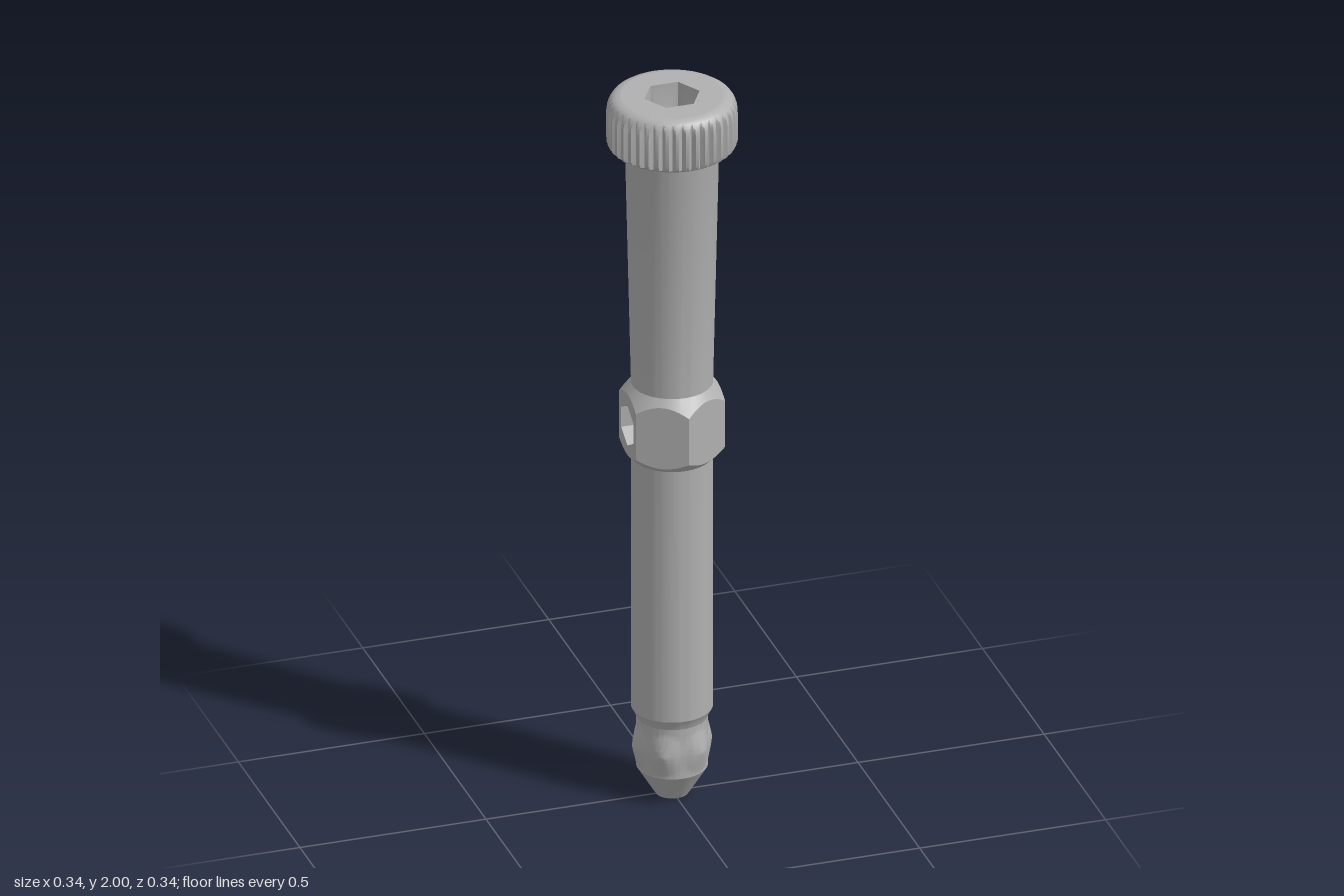
import * as THREE from 'three';
import { toCreasedNormals } from 'three/addons/utils/BufferGeometryUtils.js';

const TAU = Math.PI * 2;
const BORE = 0.04, CROSS = 0.037, CROSS_Y = 1.07, FLAT = 0.12;

// Skin over rings; at(a, i) gives [radius, height] for angle a on ring i.
function loft(rings, n, at, crease = 0.5, skip = () => false) {
  const pos = [], idx = [];
  for (let i = 0; i < rings; i++) {
    for (let j = 0; j < n; j++) {
      const a = (j / n) * TAU, [r, h] = at(a, i, j);
      pos.push(r * Math.cos(a), h, r * Math.sin(a));
    }
  }
  for (let i = 0; i < rings - 1; i++) {
    for (let j = 0; j < n; j++) {
      if (skip(((j + 0.5) / n) * TAU, i)) continue;
      const k = (j + 1) % n, p = i * n + j, q = i * n + k;
      idx.push(p, p + n, q, q, p + n, q + n);
    }
  }
  const g = new THREE.BufferGeometry();
  g.setAttribute('position', new THREE.Float32BufferAttribute(pos, 3));
  g.setIndex(idx);
  return toCreasedNormals(g, crease);
}

const turned = (profile) => loft(profile.length, 72, (a, i) => profile[i]);

// Radius of a hexagon with the given apothem; flats face multiples of 60 degrees.
function hexRadius(a, apothem) {
  const s = TAU / 6;
  return apothem / Math.cos(a - Math.round(a / s) * s);
}

export function createModel() {
  const model = new THREE.Group();
  model.name = 'knurledBolt';
  const steel = new THREE.MeshStandardMaterial({ color: 0xb0b0b0 });
  steel.name = 'greySteel';
  const add = (name, geometry) => {
    const mesh = new THREE.Mesh(geometry, steel);
    mesh.name = name;
    model.add(mesh);
    return mesh;
  };

  // Plain turned parts
  add('tipCone', turned([[BORE, 0], [0.043, 0], [0.092, 0.08]]));
  add('lowerShaft', turned([[0.092, 0.222], [0.097, 0.236], [0.105, 0.25], [0.105, 0.97]]));
  add('upperShaft', turned([[0.105, 1.18], [0.12, 1.835], [0.123, 1.847], [0.132, 1.856]]));

  // Six shallow pointed bumps around the nose
  const bumpRows = 25;
  add('bumpedNose', loft(bumpRows, 96, (a, i) => {
    const y = 0.08 + (0.142 * i) / (bumpRows - 1);
    const s = TAU / 6;
    const arc = (a - Math.round(a / s) * s) * 0.105;
    return [Math.max(0.092, 0.107 - 0.25 * Math.hypot(arc, y - 0.145)), y];
  }));

  // Hexagonal collar with cone-cut ends; the two side flats are left open
  const low = (r) => 0.97 + (r - 0.105);
  const high = (r) => 1.18 - (r - 0.105) * 1.32;
  add('hexCollar', loft(4, 72, (a, i) => {
    const r = hexRadius(a, FLAT);
    return [[0.105, 0.97], [r, low(r)], [r, high(r)], [0.105, 1.18]][i];
  }, 0.5, (a, i) => i === 1 && Math.abs(Math.cos(a)) > Math.cos(Math.PI / 6)));

  // Side flats with a round opening on one side and a hexagonal one on the other
  const roundOpening = () => 0.056;
  const hexOpening = (a) => hexRadius(a + Math.PI / 6, 0.05);
  for (const [side, label, opening] of [[1, 'round', roundOpening], [-1, 'hex', hexOpening]]) {
    const bottom = [], top = [], rim = [];
    for (let d = -30; d <= 30; d += 5) {
      const a = THREE.MathUtils.degToRad(d), r = FLAT / Math.cos(a), x = FLAT * Math.tan(a);
      bottom.push(new THREE.Vector2(x, low(r)));
      top.unshift(new THREE.Vector2(x, high(r)));
    }
    for (let j = 0; j < 48; j++) {
      const a = (j / 48) * TAU, r = opening(a);
      rim.push(new THREE.Vector2(r * Math.sin(a), CROSS_Y + r * Math.cos(a)));
    }
    const shape = new THREE.Shape([...bottom, ...top]);
    shape.holes.push(new THREE.Path(rim));
    add(label + 'OpeningFlat', new THREE.ShapeGeometry(shape)
      .rotateY(side * Math.PI / 2).translate(side * FLAT, 0, 0));

    // Recess and cross hole running in to the main bore
    const floor = side > 0 ? 0.095 : 0.07;
    const recess = loft(4, 48, (a, i) => {
      const z = CROSS * Math.sin(a);
      return [[opening(a), FLAT], [opening(a), floor], [CROSS, 0.07],
        [CROSS, Math.sqrt(BORE * BORE - z * z)]][i];
    });
    add(label + 'Recess', recess.rotateZ(-side * Math.PI / 2).translate(0, CROSS_Y, 0));
  }

  // Main bore, cut where the cross hole passes through
  const cut = (a) => Math.sqrt(Math.max(0, CROSS ** 2 - (BORE * Math.sin(a)) ** 2));
  add('upperBore', loft(2, 96, (a, i) => [BORE, i ? CROSS_Y + cut(a) : 1.84]));
  add('lowerBore', loft(2, 96, (a, i) => [BORE, i ? 0 : CROSS_Y - cut(a)]));

  // Knurled head with rounded rim and a hexagonal socket tapering to the bore
  const rim = [[0.12, 1.856], [0.154, 1.857], [0.163, 1.863], [0.168, 1.875], [0.168, 1.955],
    [0.166, 1.97], [0.162, 1.981], [0.155, 1.991], [0.145, 1.998], [0.132, 2]];
  const groove = [0.157, 0.161, 0.168, 0.168, 0.168, 0.161];
  add('knurledHead', loft(rim.length, 240, (a, i, j) =>
    [Math.min(rim[i][0], groove[j % 6]), rim[i][1]], 0.6));
  add('headSocket', loft(4, 240, (a, i) => {
    const r = hexRadius(a + Math.PI / 6, 0.064);
    return [[0.132, 2], [r, 2], [r, 1.89], [BORE, 1.84]][i];
  }));

  return model;
}
